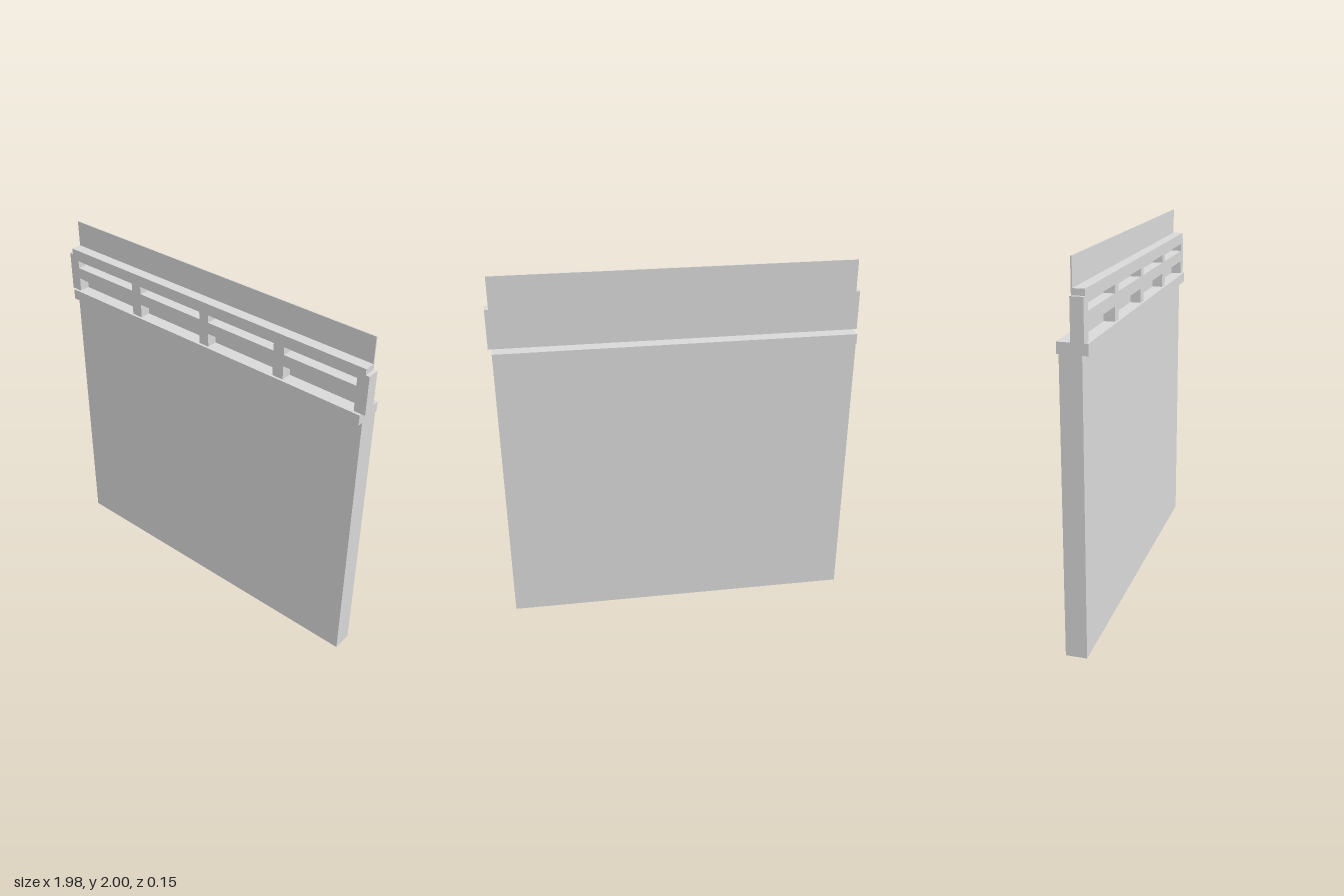
import * as THREE from 'three';

const HALF = 0.967;  // half width of slab, cap and sheet
const EAR = 0.988;   // half width of the rail
const CAP_TOP = 1.612, EAR_TOP = 1.826, RAIL_TOP = 1.858, TOP = 2;
const SHEET_BACK = -0.002, SHEET_FRONT = 0.005, RAIL_FRONT = 0.063;

// Openings along the rail: [left, right], mirrored about x = 0
const half = [[0.03, 0.447], [0.51, 0.925]];
const openings = [...half.map(([a, b]) => [-b, -a]).reverse(), ...half];

const points = (list) => list.map(([x, y]) => new THREE.Vector2(x, y));

// Outline with wide ears below and a narrower top; notches cut the bottom edge
function outline(top, notches) {
  const bottom = notches.flatMap(([a, b]) => [
    [a, CAP_TOP], [a, 1.688], [b, 1.688], [b, CAP_TOP],
  ]);
  return new THREE.Shape(points([
    [-EAR, CAP_TOP], ...bottom, [EAR, CAP_TOP], [EAR, EAR_TOP],
    [HALF, EAR_TOP], [HALF, top], [-HALF, top], [-HALF, EAR_TOP], [-EAR, EAR_TOP],
  ]));
}

export function createModel() {
  const group = new THREE.Group();
  const grey = new THREE.MeshStandardMaterial({ color: 0xd8d8d8 });
  grey.name = 'light grey';

  function add(name, geometry) {
    const mesh = new THREE.Mesh(geometry, grey);
    mesh.name = name;
    group.add(mesh);
    return mesh;
  }

  function box(name, y0, y1, z0, z1) {
    add(name, new THREE.BoxGeometry(2 * HALF, y1 - y0, z1 - z0))
      .position.set(0, (y0 + y1) / 2, (z0 + z1) / 2);
  }

  function plate(name, shape, z0, z1) {
    add(name, new THREE.ExtrudeGeometry(shape, { depth: z1 - z0, bevelEnabled: false }))
      .position.z = z0;
  }

  // Main wall and its overhanging cap
  box('wallSlab', 0, 1.554, -0.066, 0.046);
  box('wallCap', 1.554, CAP_TOP, -0.077, 0.077);

  // Thin sheet behind the rail, rising above it
  plate('backingSheet', outline(TOP, []), SHEET_BACK, SHEET_FRONT);

  // Rail with open notches below and narrow slots above
  const rail = outline(RAIL_TOP, openings);
  for (const [a, b] of openings) {
    rail.holes.push(new THREE.Path(points([[a, 1.752], [a, 1.795], [b, 1.795], [b, 1.752]])));
  }
  plate('slottedRail', rail, SHEET_FRONT, RAIL_FRONT);

  return group;
}
